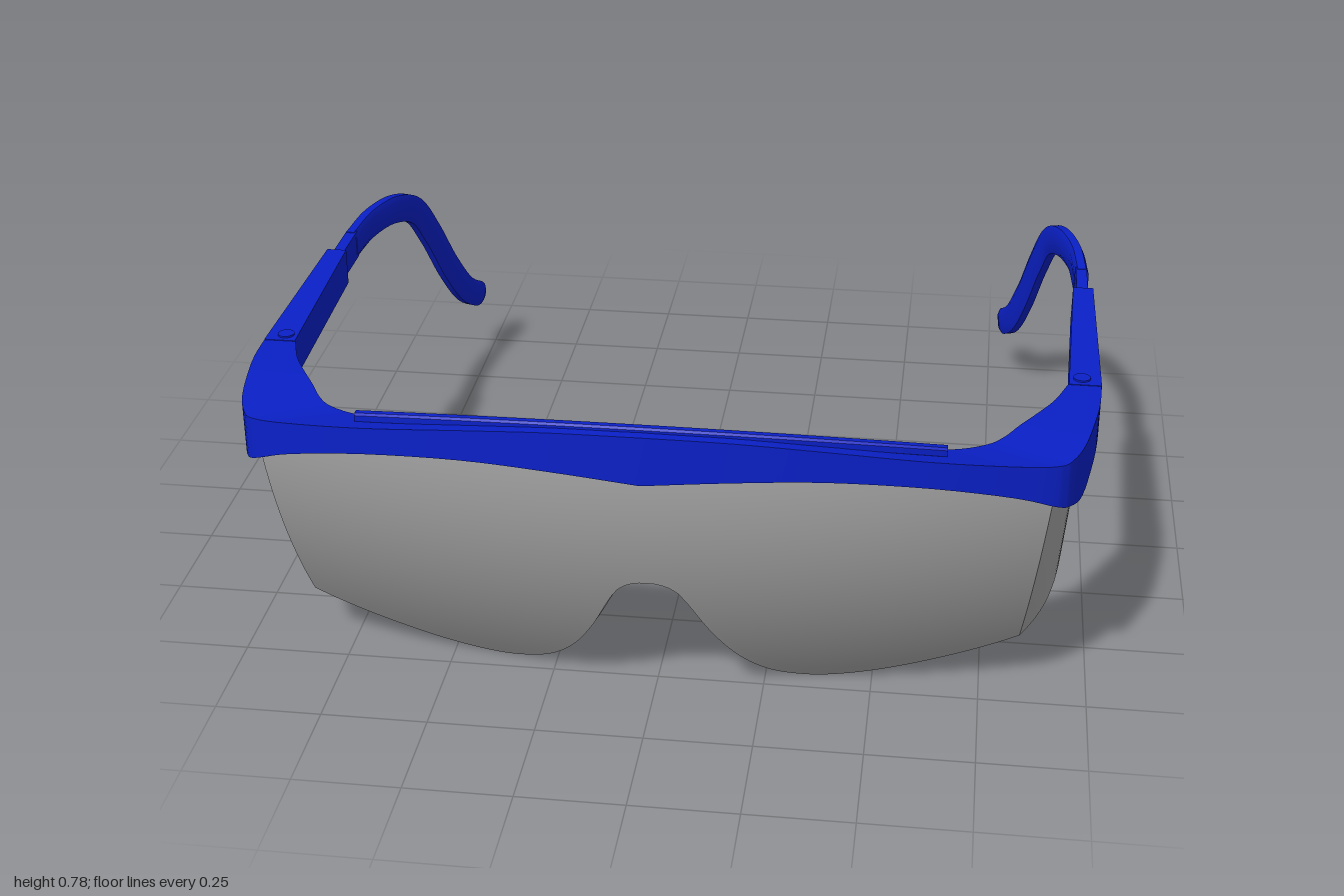
import * as THREE from 'three';
import { toCreasedNormals } from 'three/addons/utils/BufferGeometryUtils.js';

const blue = new THREE.MeshStandardMaterial({ color: 0x0a20c8 });
blue.name = 'frame blue';
const grey = new THREE.MeshStandardMaterial({ color: 0xa6a6a6, side: THREE.DoubleSide });
grey.name = 'lens grey';

const V = (x, y, z) => new THREE.Vector3(x, y, z);
const lerp = THREE.MathUtils.lerp;

// Smooth function through [x, y] points
function curve(pts) {
  const slope = i => {
    const a = pts[Math.max(i - 1, 0)], b = pts[Math.min(i + 1, pts.length - 1)];
    return (b[1] - a[1]) / (b[0] - a[0]);
  };
  return x => {
    let i = 0;
    while (i < pts.length - 2 && x > pts[i + 1][0]) i++;
    const [x0, y0] = pts[i], [x1, y1] = pts[i + 1], h = x1 - x0, t = (x - x0) / h;
    const t2 = t * t, t3 = t2 * t;
    return (2 * t3 - 3 * t2 + 1) * y0 + (t3 - 2 * t2 + t) * h * slope(i)
      + (3 * t2 - 2 * t3) * y1 + (t3 - t2) * h * slope(i + 1);
  };
}

// Capped solid through closed rings of equal length, always facing outwards
function loft(rings, crease = 0.6) {
  const n = rings[0].length, pts = rings.flat(), idx = [];
  for (let i = 0; i < rings.length - 1; i++) for (let j = 0; j < n; j++) {
    const a = i * n + j, b = i * n + (j + 1) % n;
    idx.push(a, b, a + n, b, b + n, a + n);
  }
  for (const end of [0, rings.length - 1]) {
    const c = pts.length;
    pts.push(rings[end].reduce((s, p) => s.add(p), V(0, 0, 0)).divideScalar(n));
    for (let j = 0; j < n; j++) {
      const a = end * n + j, b = end * n + (j + 1) % n;
      if (end) idx.push(c, a, b); else idx.push(c, b, a);
    }
  }
  let vol = 0;
  for (let k = 0; k < idx.length; k += 3)
    vol += pts[idx[k]].dot(pts[idx[k + 1]].clone().cross(pts[idx[k + 2]]));
  if (vol < 0) idx.reverse();
  const g = new THREE.BufferGeometry().setFromPoints(pts);
  g.setIndex(idx);
  return toCreasedNormals(g, crease);
}

// Lens surface: leaning front sheet that folds into a side shield
const lensX = y => 0.88 - 0.1 * (0.57 - y);
const lensZ = (x, y) => 0.968 - 0.565 * (0.66 - y) ** 2 - (0.14 + 0.08 * (0.66 - y)) * x * x;
const frontBottom = curve([[-0.05, 0.352], [0, 0.36], [0.05, 0.352], [0.09, 0.32], [0.165, 0.19], [0.23, 0.1],
  [0.3, 0.04], [0.37, 0.012], [0.47, 0], [0.62, 0.02], [0.8, 0.07], [0.93, 0.115], [1, 0.145]]);
const sideBottom = curve([[0, 0.145], [0.5, 0.195], [0.85, 0.255], [0.95, 0.29], [1, 0.34]]);
const sideTop = curve([[0, 0.65], [0.5, 0.63], [0.8, 0.59], [0.95, 0.55], [1, 0.5]]);

function lensColumn(u) { // |u| up to 1 is the front, 1 to 2 the side
  const a = Math.abs(u), sg = Math.sign(u) || 1, t = Math.max(a - 1, 0);
  const lo = t ? sideBottom(t) : frontBottom(a);
  const hi = t ? sideTop(t) : 0.72 - 0.07 * a * a;
  const outer = [], inner = [], rows = 20;
  const turn = THREE.MathUtils.smoothstep(a, 0.95, 1.1) * Math.PI / 2;
  for (let j = 0; j <= rows; j++) {
    const y = lerp(lo, hi, j / rows), xc = lensX(y);
    const x = t ? lerp(xc, 0.955 - 0.08 * (0.57 - y), 2 * t - t * t) : a * xc;
    const z = t ? lerp(lensZ(xc, y), 0.44, t) : lensZ(x, y);
    outer.push(V(sg * x, y, z));
    inner.unshift(V(sg * (x - 0.018 * Math.sin(turn)), y, z - 0.018 * Math.cos(turn)));
  }
  return [...outer, ...inner];
}

// Chamfered rectangle in the plane of side and up
function section(c, side, up, w, h) {
  return [[1, 0.6], [0.6, 1], [-0.6, 1], [-1, 0.6], [-1, -0.6], [-0.6, -1], [0.6, -1], [1, -0.6]]
    .map(([a, b]) => c.clone().addScaledVector(side, a * w).addScaledVector(up, b * h));
}

export function createModel() {
  const group = new THREE.Group();
  const add = (name, geo, mat, parent = group) => {
    const m = new THREE.Mesh(geo, mat);
    m.name = name;
    parent.add(m);
    return m;
  };

  // Wraparound lens
  const cols = [];
  for (let i = -66; i <= 66; i++) {
    const a = Math.abs(i);
    cols.push(lensColumn(Math.sign(i) * (a <= 50 ? a / 50 : 1 + (a - 50) / 16)));
  }
  add('lens', loft(cols), grey);

  // Nose flange following the notch
  const nose = [];
  for (let i = -24; i <= 24; i++) {
    const s = i / 24 * 0.22, y = frontBottom(Math.abs(s)), x = s * lensX(y);
    const slope = (frontBottom(Math.abs(s) + 0.005) - frontBottom(Math.abs(s) - 0.005)) / 0.0085 * Math.sign(s);
    const n = V(-slope, 1, 0).normalize();
    const end = Math.sqrt(Math.max(1 - (Math.abs(i) / 24) ** 6, 0.02));
    const c = V(x, y, lensZ(x, y) - 0.045).addScaledVector(n, 0.006), ring = [];
    for (let k = 0; k < 12; k++) {
      const q = k / 12 * Math.PI * 2;
      ring.push(c.clone().addScaledVector(n, 0.013 * end * Math.sin(q)).add(V(0, 0, 0.045 * end * Math.cos(q))));
    }
    nose.push(ring);
  }
  add('noseFlange', loft(nose, 1), grey);

  // Brow frame stations: outer x, z, inner x, z, top, bottom, plate thickness
  const st = [
    [0, 1, 0, 0.94, 0.772, 0.655, 0.04],
    [0.2, 0.993, 0.17, 0.935, 0.767, 0.672, 0.04],
    [0.4, 0.975, 0.34, 0.918, 0.75, 0.677, 0.04],
    [0.62, 0.943, 0.52, 0.885, 0.724, 0.66, 0.04],
    [0.8, 0.9, 0.65, 0.84, 0.702, 0.625, 0.04],
    [0.89, 0.868, 0.73, 0.79, 0.692, 0.592, 0.04],
    [0.922, 0.83, 0.77, 0.745, 0.69, 0.575, 0.04],
    [0.95, 0.75, 0.805, 0.68, 0.688, 0.558, 0.04],
    [0.975, 0.62, 0.85, 0.6, 0.684, 0.568, 0.045],
    [0.987, 0.53, 0.885, 0.53, 0.68, 0.58, 0.09],
    [0.992, 0.44, 0.915, 0.44, 0.675, 0.587, 0.088]];
  const f = st[0].map((_, k) => curve(st.map((p, i) => [i, p[k]])));
  const frame = [];
  for (let i = -40; i <= 40; i++) {
    const sg = i < 0 ? -1 : 1;
    const [ox, oz, ix, iz, top, bot, th] = f.map(fn => fn(Math.abs(i) / 4));
    const d = Math.hypot(ix - ox, iz - oz), k = 0.016 / d;
    const kx = lerp(ox, ix, k), kz = lerp(oz, iz, k), under = Math.max(top - th, bot);
    frame.push([V(sg * ox, top, oz), V(sg * ox, bot, oz), V(sg * kx, bot, kz),
      V(sg * kx, under, kz), V(sg * ix, under, iz), V(sg * ix, top, iz)]);
  }
  add('browFrame', loft(frame), blue);

  // Raised rib along the top of the brow
  const rib = [];
  for (let i = -20; i <= 20; i++) {
    const x = i / 20 * 0.65;
    rib.push(section(V(x, 0.77 - 0.12 * x * x, 0.965 - 0.2 * x * x), V(0, 0, 1), V(0, 1, 0), 0.011, 0.012));
  }
  add('browRib', loft(rib), blue);

  // Temples, mirrored by the sign of x
  for (const sg of [1, -1]) {
    const temple = new THREE.Group();
    temple.name = sg > 0 ? 'leftTemple' : 'rightTemple';
    group.add(temple);

    const box = (z, x0, x1, y0, y1) => [V(sg * x0, y0, z), V(sg * x1, y0, z), V(sg * x1, y1, z), V(sg * x0, y1, z)];
    add('templeSleeve', loft([box(0.437, 0.918, 0.993, 0.583, 0.675), box(-0.11, 0.937, 0.987, 0.581, 0.674)]), blue, temple);
    add('hingeLug', loft([box(0.46, 0.93, 0.975, 0.6, 0.66), box(0.42, 0.93, 0.975, 0.6, 0.66)]), blue, temple);
    add('hingePin', new THREE.CylinderGeometry(0.02, 0.02, 0.1, 20), blue, temple).position.set(sg * 0.948, 0.629, 0.405);
    add('slidingBar', loft([box(-0.09, 0.947, 0.975, 0.592, 0.664), box(-0.26, 0.947, 0.975, 0.592, 0.664)]), blue, temple);

    // Curved arm with ear hook
    const path = new THREE.CatmullRomCurve3([[0.963, 0.628, -0.245], [0.95, 0.628, -0.4], [0.92, 0.613, -0.54],
      [0.892, 0.565, -0.65], [0.867, 0.465, -0.725], [0.837, 0.32, -0.81], [0.808, 0.215, -0.89], [0.778, 0.16, -0.985]]
      .map(p => V(sg * p[0], p[1], p[2])));
    const arm = [];
    for (let i = 0; i <= 50; i++) {
      const u = i / 50, t = path.getTangentAt(u);
      const side = V(0, 1, 0).cross(t).normalize(), up = t.clone().cross(side);
      const tip = u > 0.94 ? Math.sqrt(1 - ((u - 0.94) / 0.065) ** 2) : 1;
      arm.push(section(path.getPointAt(u), side, up, 0.018 * tip, 0.038 * tip));
    }
    add('earHook', loft(arm, 0.9), blue, temple);
  }
  return group;
}
